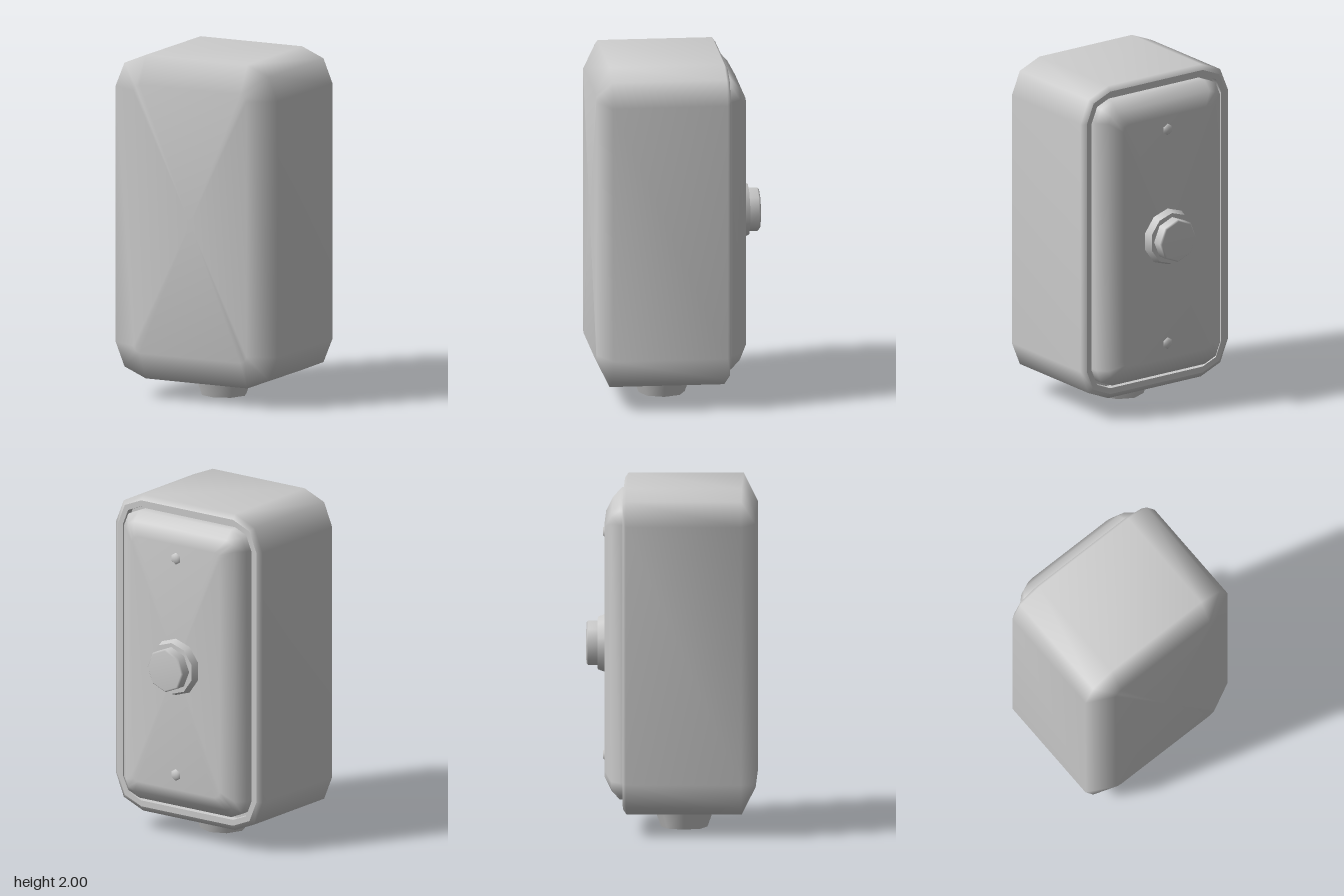
import * as THREE from 'three';

const material = new THREE.MeshStandardMaterial({ color: 0xcccccc });
const HALF_W = 0.527, HALF_H = 0.9425, CENTRE_Y = 1.0575, RADIUS = 0.197;

// Rectangle inset from the casing outline, each corner rounded in two segments
function ring(inset, z) {
  const w = HALF_W - inset, h = HALF_H - inset, r = Math.max(RADIUS - inset, 0.04);
  const points = [];
  for (let corner = 0; corner < 4; corner++) {
    const sx = corner === 0 || corner === 3 ? 1 : -1;
    const sy = corner < 2 ? 1 : -1;
    for (let step = 0; step < 3; step++) {
      const a = corner * Math.PI / 2 + step * Math.PI / 4;
      points.push([sx * (w - r) + r * Math.cos(a), CENTRE_Y + sy * (h - r) + r * Math.sin(a), z]);
    }
  }
  return points;
}

// Smooth skin through [inset, z] sections running from front to back
function loft(sections, capFront, capBack) {
  const rings = sections.map(([inset, z]) => ring(inset, z));
  const n = rings[0].length, last = rings.length - 1;
  const positions = rings.flat(2);
  const index = [];
  for (let i = 0; i < last; i++) {
    for (let k = 0; k < n; k++) {
      const a = i * n + k, b = i * n + (k + 1) % n;
      index.push(a, a + n, b, b, a + n, b + n);
    }
  }
  // Caps fan around a centre point
  const cap = (row, flip) => {
    const c = positions.length / 3;
    positions.push(0, CENTRE_Y, sections[row][1]);
    for (let k = 0; k < n; k++) {
      const a = row * n + k, b = row * n + (k + 1) % n;
      if (flip) index.push(c, b, a);
      else index.push(c, a, b);
    }
  };
  if (capFront) cap(0, false);
  if (capBack) cap(last, true);
  const geometry = new THREE.BufferGeometry();
  geometry.setAttribute('position', new THREE.Float32BufferAttribute(positions, 3));
  geometry.setIndex(index);
  geometry.computeVertexNormals();
  return geometry;
}

// Turned part whose axis points out of the back
function turned(profile, sides) {
  const points = profile.map(([r, h]) => new THREE.Vector2(r, h));
  return new THREE.LatheGeometry(points, sides).rotateX(-Math.PI / 2);
}

export function createModel() {
  const model = new THREE.Group();
  const add = (name, geometry, x = 0, y = 0, z = 0) => {
    const mesh = new THREE.Mesh(geometry, material);
    mesh.name = name;
    mesh.position.set(x, y, z);
    model.add(mesh);
  };

  // Casing with a broad front bevel and a narrow back bevel
  add('casing', loft([[0.16, 0.485], [0, 0.405], [0, -0.255], [0.03, -0.275]], true, false));

  // Back lip and the groove around the cover
  add('rim', loft([[0.03, -0.275], [0.065, -0.275]], false, false));
  add('groove', loft([[0.065, -0.275], [0.068, -0.235]], false, false));
  add('grooveFloor', loft([[0.068, -0.235], [0.1, -0.235]], false, true));

  // Rounded back cover
  add('backCover', loft([[0.086, -0.235], [0.086, -0.293], [0.138, -0.341], [0.212, -0.382]], false, true));

  // Button and its collar
  add('buttonCollar', turned([[0.168, -0.01], [0.168, 0], [0.152, 0.043]], 10), 0, 1.06, -0.382);
  add('collarFace', turned([[0.152, 0], [0, 0]], 10), 0, 1.06, -0.425);
  add('button', turned([[0.128, -0.02], [0.128, 0.055], [0.118, 0.065], [0, 0.065]], 8), 0, 1.06, -0.425);

  // Cover screws above and below the button
  for (const [name, y] of [['upperScrew', 1.705], ['lowerScrew', 0.415]]) {
    add(name, turned([[0.035, -0.005], [0.035, 0], [0.022, 0.014], [0, 0.014]], 6), 0, y, -0.382);
  }

  // Tapered foot under the casing
  add('foot', new THREE.CylinderGeometry(0.178, 0.133, 0.125, 8), 0, 0.0625, 0.07);

  return model;
}
